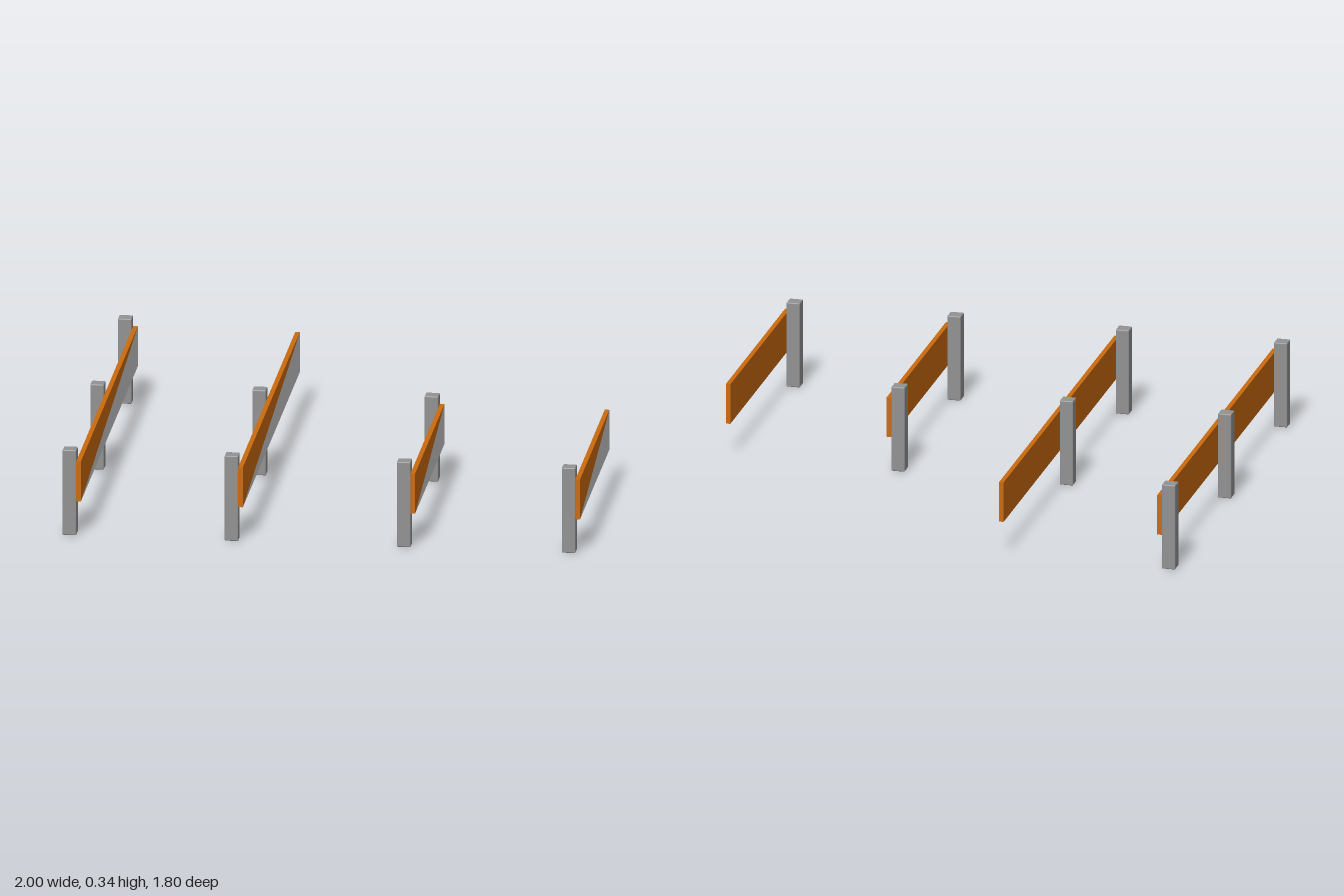
import * as THREE from 'three';
import { RoundedBoxGeometry } from 'three/addons/geometries/RoundedBoxGeometry.js';

const material = (name, color) => new THREE.MeshStandardMaterial({ name, color });

const POST = { width: 0.053, height: 0.341 };
const BOARD = { thickness: 0.018, bottom: 0.137, top: 0.297 };
const FRONT = 0.898;
const POST_Z = { front: FRONT - POST.width / 2, middle: 0, back: -FRONT + POST.width / 2 };

export function createModel() {
  const postGrey = material('post grey', 0x929292);
  const orange = material('board orange', 0xcb6a0e);
  const paleGrey = material('board pale grey', 0xcacaca);

  const postGeometry = new RoundedBoxGeometry(POST.width, POST.height, POST.width, 2, 0.004);

  // Board whose outer face is split along its diagonal into two colours
  function makeBoard(outerX, backZ) {
    const height = BOARD.top - BOARD.bottom;
    const geometry = new THREE.BoxGeometry(BOARD.thickness, height, FRONT - backZ);
    geometry.clearGroups();
    geometry.addGroup(0, 3, 0);
    geometry.addGroup(3, 3, 1);
    geometry.addGroup(6, 30, 0);
    const board = new THREE.Mesh(geometry, [orange, paleGrey]);
    board.name = 'board';
    board.position.set(outerX - BOARD.thickness / 2, BOARD.bottom + height / 2, (FRONT + backZ) / 2);
    return board;
  }

  // One barrier: a board fixed to the outer side of its posts
  function makeBarrier(name, outerX, backZ, posts) {
    const barrier = new THREE.Group();
    barrier.name = name;
    barrier.add(makeBoard(outerX, backZ));
    for (const place of posts) {
      const post = new THREE.Mesh(postGeometry, postGrey);
      post.name = place + 'Post';
      post.position.set(outerX - BOARD.thickness - POST.width / 2, POST.height / 2, POST_Z[place]);
      barrier.add(post);
    }
    return barrier;
  }

  const model = new THREE.Group();
  model.name = 'barrierSet';
  const middleEnd = -POST.width / 2;
  model.add(
    makeBarrier('longBarrierBothEnds', -0.929, -FRONT, ['front', 'middle', 'back']),
    makeBarrier('longBarrierOpenEnd', -0.303, -FRONT, ['front', 'middle']),
    makeBarrier('shortBarrierBothEnds', 0.363, middleEnd, ['front', 'middle']),
    makeBarrier('shortBarrierOpenEnd', 1, middleEnd, ['front']),
  );
  return model;
}
